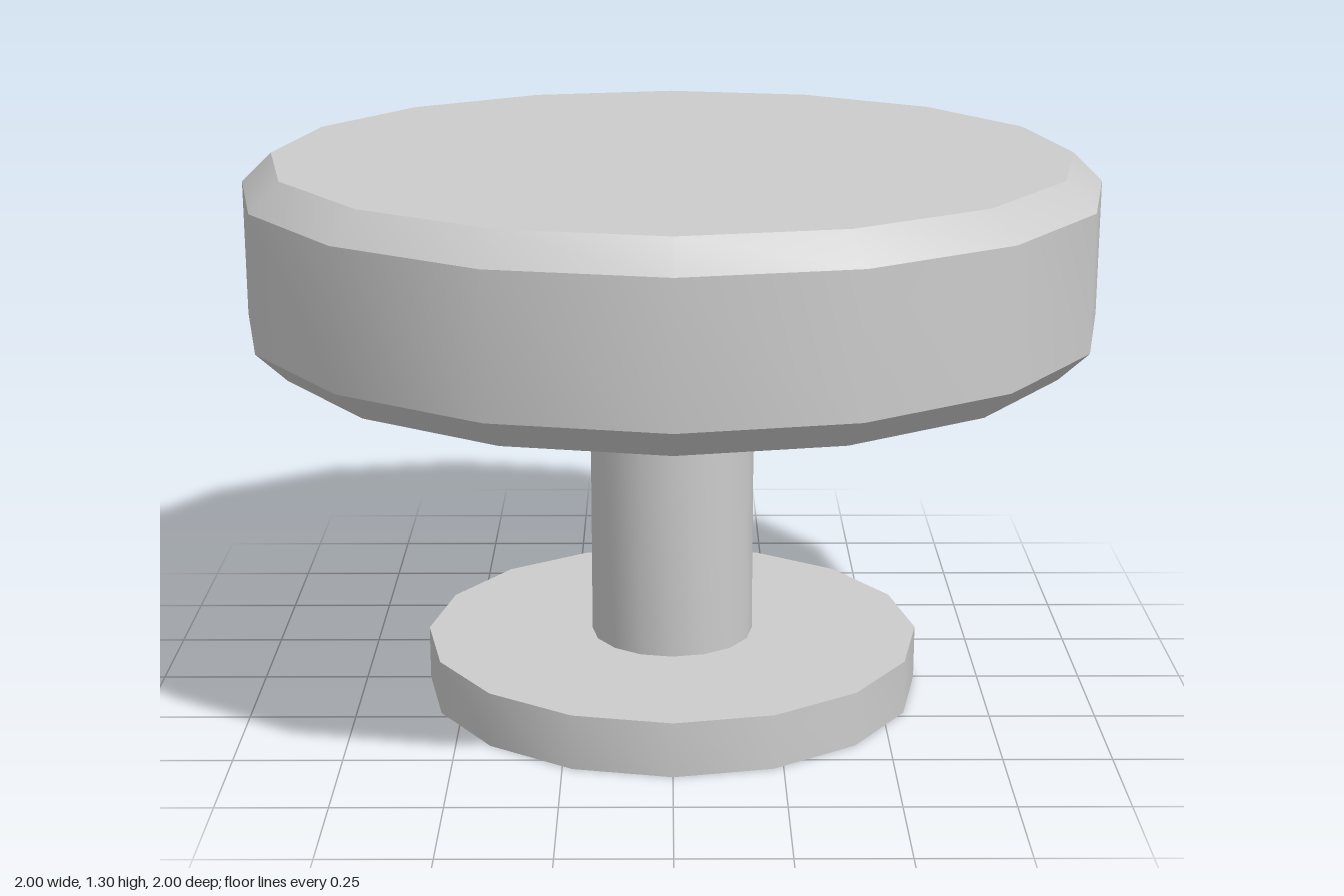
import * as THREE from 'three';
import { toCreasedNormals } from 'three/addons/utils/BufferGeometryUtils.js';

const SIDES = 16;
const material = new THREE.MeshStandardMaterial({ color: 0xcccccc });

// Closed 16-sided turned part; profile is [radius, y] from bottom to top.
// Facets blend around the axis, while rims and chamfers stay sharp.
function turned(name, profile) {
  const points = profile.map(([r, y]) => new THREE.Vector2(r, y));
  const geometry = toCreasedNormals(new THREE.LatheGeometry(points, SIDES), Math.PI / 6);
  const mesh = new THREE.Mesh(geometry, material);
  mesh.name = name;
  return mesh;
}

export function createModel() {
  const group = new THREE.Group();
  group.name = 'stool';

  // Flat round foot
  group.add(turned('base', [[0, 0], [0.594, 0], [0.594, 0.13], [0, 0.13]]));

  // Central post, ending flush with the foot and the seat
  group.add(turned('post', [[0, 0.13], [0.195, 0.13], [0.195, 0.855], [0, 0.855]]));

  // Thick seat with chamfered upper and lower rims
  group.add(turned('seat', [
    [0, 0.855], [0.93, 0.855], [1, 0.922],
    [1, 1.238], [0.93, 1.305], [0, 1.305],
  ]));

  return group;
}
